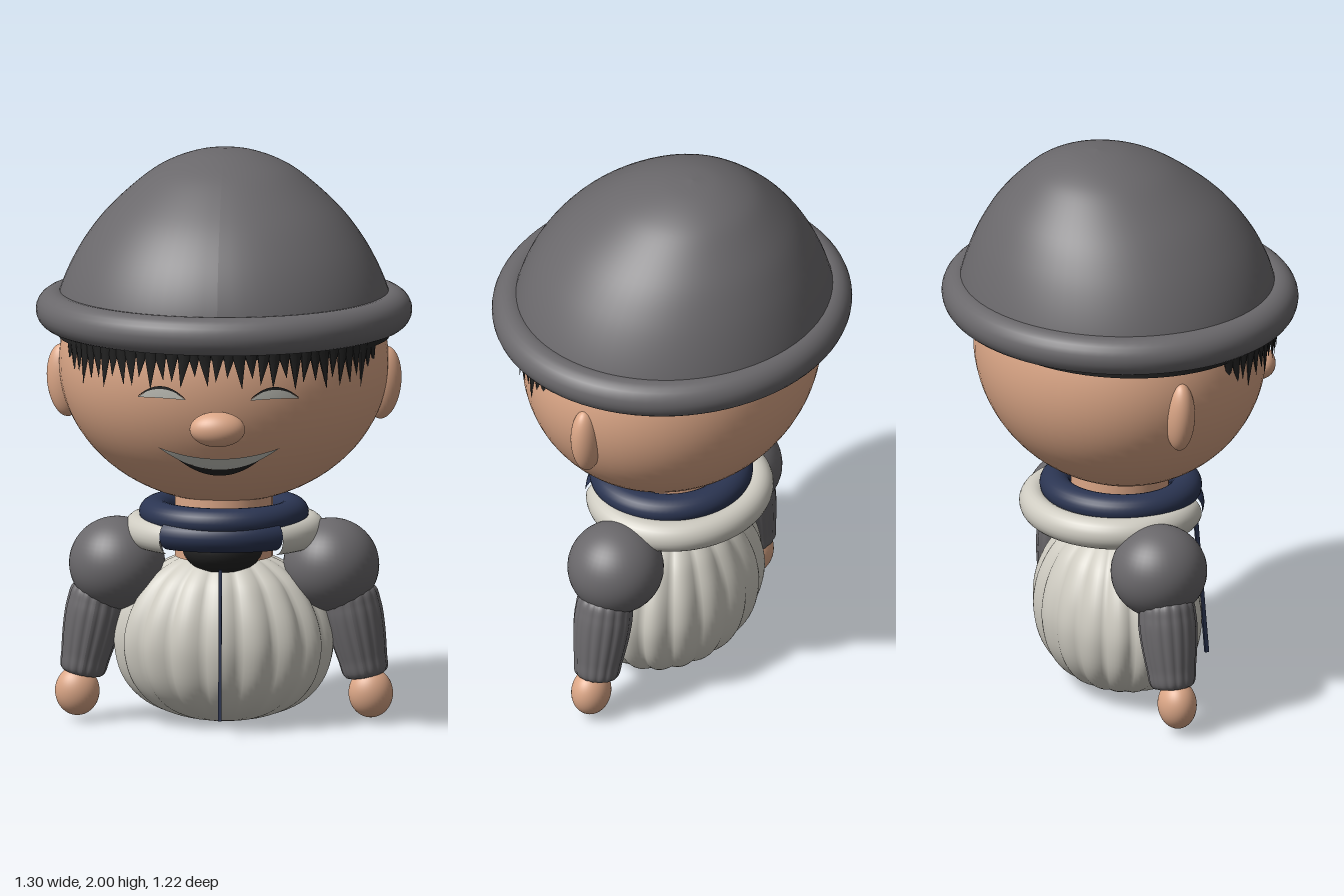
import * as THREE from 'three';

const mat = (name, color, side = THREE.FrontSide) => {
  const m = new THREE.MeshStandardMaterial({ color, side });
  m.name = name;
  return m;
};

// Head ellipsoid, shared by the head and the painted face
const HEAD = { y: 1.27, rx: 0.57, ry: 0.49, rz: 0.495 };

export function createModel() {
  const model = new THREE.Group();
  const grey = mat('charcoal wool', 0x6a686b);
  const skin = mat('skin', 0xdca787);
  const cream = mat('cream cloth', 0xcfccc2);
  const navy = mat('navy', 0x2b3552);
  const black = mat('black', 0x232323, THREE.DoubleSide);
  const white = mat('eye and tooth white', 0xc4c4bc);

  const add = (name, geo, material, x = 0, y = 0, z = 0, parent = model) => {
    const m = new THREE.Mesh(geo, material);
    m.name = name;
    m.position.set(x, y, z);
    parent.add(m);
    return m;
  };
  const ball = (rx, ry, rz, seg = 40) => new THREE.SphereGeometry(1, seg, seg * 0.7 | 0).scale(rx, ry, rz);

  // Smooth lathe through a few [radius, y] points, bottom to top
  const lathe = (pts, seg, steps = 40) => {
    const curve = new THREE.SplineCurve(pts.map(p => new THREE.Vector2(...p)));
    const profile = curve.getPoints(steps).map(p => new THREE.Vector2(Math.max(0, p.x), p.y));
    return new THREE.LatheGeometry(profile, seg);
  };
  // Move every vertex by a rule
  const warp = (geo, rule) => {
    const p = geo.attributes.position, v = new THREE.Vector3();
    for (let i = 0; i < p.count; i++) {
      rule(v.fromBufferAttribute(p, i));
      p.setXYZ(i, v.x, v.y, v.z);
    }
    geo.computeVertexNormals();
    return geo;
  };
  // Vertical cloth folds around the y axis
  const fold = (v, count, depth) => {
    const k = 1 + depth * (Math.abs(Math.cos(Math.atan2(v.x, v.z) * count / 2)) - 0.75);
    v.x *= k;
    v.z *= k;
  };
  // Horizontal ring, or an arc of it; angle 90 degrees is the front
  const ring = (R, r, start = 0, arc = Math.PI * 2) =>
    new THREE.TorusGeometry(R, r, 24, 80, arc).rotateZ(start).rotateX(Math.PI / 2);

  // Head, neck, nose and ears
  add('head', ball(HEAD.rx, HEAD.ry, HEAD.rz, 64), skin, 0, HEAD.y, 0);
  add('neck', new THREE.CylinderGeometry(0.17, 0.17, 0.26, 32), skin, 0, 0.72, 0);
  add('nose', ball(0.096, 0.061, 0.062), skin, 0, 1.12, 0.51);
  for (const s of [1, -1]) {
    const ear = add(s > 0 ? 'leftEar' : 'rightEar', ball(0.062, 0.128, 0.05), skin, s * 0.55, 1.197, -0.01);
    ear.rotation.z = -s * 0.1;
  }

  // Thin patch between two height curves, laid on the face
  const facePatch = (cx, half, bottom, top, lift) => {
    const cols = 28, rows = 4, pos = [], idx = [];
    for (let j = 0; j <= rows; j++) for (let i = 0; i <= cols; i++) {
      const t = i / cols * 2 - 1, x = cx + t * half;
      const y = THREE.MathUtils.lerp(bottom(t), top(t), j / rows);
      const q = 1 - (x / HEAD.rx) ** 2 - ((y - HEAD.y) / HEAD.ry) ** 2;
      pos.push(x, y, HEAD.rz * Math.sqrt(q) + lift);
      if (i < cols && j < rows) {
        const a = j * (cols + 1) + i, b = a + cols + 1;
        idx.push(a, a + 1, b + 1, a, b + 1, b);
      }
    }
    const g = new THREE.BufferGeometry();
    g.setAttribute('position', new THREE.Float32BufferAttribute(pos, 3));
    g.setIndex(idx);
    g.computeVertexNormals();
    return g;
  };
  // Smiling eyes with dark lids
  for (const s of [1, -1]) {
    const side = s > 0 ? 'left' : 'right';
    const arch = h => t => 1.218 + h * (1 - t * t);
    add(side + 'Eye', facePatch(s * 0.195, 0.084, arch(0.003), arch(0.037), 0.006), white);
    add(side + 'Eyelid', facePatch(s * 0.195, 0.088, arch(0.036), arch(0.046), 0.009), black);
  }
  // Grin
  add('teeth', facePatch(0, 0.21, t => 0.957 + 0.08 * t * t, t => 1.0 + 0.037 * t * t, 0.006), white);
  add('lowerLip', facePatch(0, 0.14, t => 0.932 + 0.061 * t * t, t => 0.957 + 0.036 * t * t, 0.007), black);

  // Hair band and pointed fringe
  add('hairBand', new THREE.CylinderGeometry(0.574, 0.572, 0.09, 64).scale(1, 1, 0.877), black, 0, 1.405, 0);
  const fringe = new THREE.Group();
  fringe.name = 'fringe';
  model.add(fringe);
  const count = 35;
  for (let i = 0; i < count; i++) {
    const t = i / (count - 1) * 2 - 1, a = t * 1.22;
    const length = 0.125 + 0.045 * Math.abs(t) + 0.022 * Math.sin(i * 2.4);
    const lock = new THREE.ConeGeometry(0.034, length, 6).rotateX(Math.PI).scale(1, 1, 0.4);
    const m = add('hairLock', lock, black, 0.555 * Math.sin(a), 1.415 - length / 2, 0.535 * Math.cos(a), fringe);
    m.rotation.set(0, a, 0.12 * Math.sin(i * 1.7));
  }

  // Hat: dome leaning back towards its tip, and rolled brim
  const dome = lathe([[0.58, 1.43], [0.573, 1.5], [0.535, 1.6], [0.478, 1.7], [0.398, 1.8],
    [0.285, 1.9], [0.2, 1.953], [0.1, 1.988], [0, 2]], 72);
  add('hatDome', warp(dome, v => {
    const k = Math.max(0, (v.y - 1.5) / 0.5);
    v.z = v.z * (0.945 + 0.05 * k) - 0.01 - 0.075 * k * k;
  }), grey);
  add('hatBrim', ring(0.583, 0.067).scale(1, 1, 0.938), grey, 0, 1.452, 0);

  // Collar, and hood ring whose front stretch is navy
  add('collar', ring(0.237, 0.056).scale(1, 0.86, 0.95), navy, 0, 0.743, 0.003);
  const gap = 0.66, front = Math.PI / 2;
  add('hoodRing', ring(0.293, 0.055, front + gap, Math.PI * 2 - 2 * gap).scale(1, 1, 0.9), cream, 0, 0.676, -0.032);
  add('collarFront', ring(0.293, 0.055, front - gap, 2 * gap).scale(1, 0.95, 0.9), navy, 0, 0.69, -0.03);
  add('undershirt', ball(0.14, 0.09, 0.125), black, 0, 0.63, 0.085);

  // Padded body with folds
  const body = lathe([[0, 0.005], [0.14, 0.025], [0.265, 0.075], [0.345, 0.16], [0.377, 0.27],
    [0.365, 0.37], [0.322, 0.46], [0.26, 0.53], [0.15, 0.59], [0, 0.61]], 144);
  add('body', warp(body, v => {
    fold(v, 18, 0.06);
    v.z *= 0.72;
  }), cream, 0, 0, -0.01);
  const zip = add('zip', new THREE.BoxGeometry(0.011, 0.526, 0.014), navy, 0, 0.325, 0.304);
  zip.rotation.x = -0.082;

  // Arms
  for (const s of [1, -1]) {
    const arm = new THREE.Group();
    arm.name = s > 0 ? 'leftArm' : 'rightArm';
    model.add(arm);
    add('shoulder', ball(0.166, 0.162, 0.167), grey, s * 0.37, 0.556, -0.012, arm);
    const sleeve = lathe([[0, -0.17], [0.07, -0.165], [0.085, -0.1], [0.098, 0], [0.1, 0.08],
      [0.085, 0.14], [0, 0.175]], 96);
    const m = add('sleeve', warp(sleeve, v => fold(v, 16, 0.05)), grey, s * 0.458, 0.335, -0.012, arm);
    m.rotation.z = s * 0.2;
    add('hand', ball(0.077, 0.086, 0.066), skin, s * 0.507, 0.109, -0.002, arm);
  }
  return model;
}
